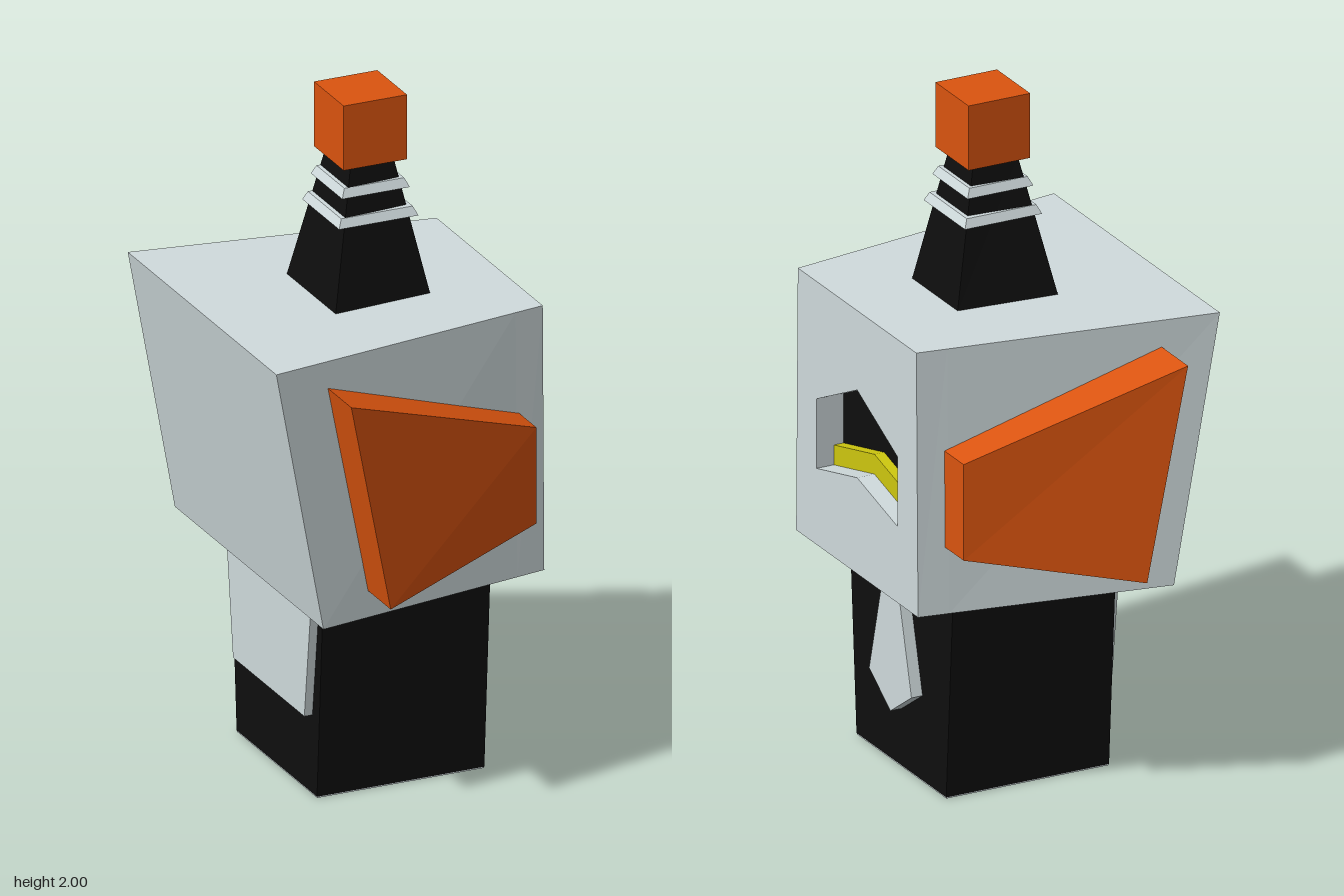
import * as THREE from 'three';

const material = (color) => new THREE.MeshStandardMaterial({ color, flatShading: true });
const pale = material(0xd0dbdd), black = material(0x0e0e0e);
const orange = material(0xdb540f), yellow = material(0xcfc80f);

// Box whose eight corners are placed by a rule of (back/front, low/high, -z/+z)
function block(name, mat, corner) {
  const geo = new THREE.BoxGeometry(1, 1, 1);
  const p = geo.attributes.position;
  for (let i = 0; i < p.count; i++) {
    p.setXYZ(i, ...corner(p.getX(i) > 0, p.getY(i) > 0, Math.sign(p.getZ(i))));
  }
  geo.computeVertexNormals();
  const mesh = new THREE.Mesh(geo, mat);
  mesh.name = name;
  return mesh;
}

// Straight-sided box or tapered block, given x, y ranges and z half widths (low, high)
function slab(name, mat, x0, x1, y0, y1, zLow, zHigh = zLow) {
  return block(name, mat, (f, u, s) => [f ? x1 : x0, u ? y1 : y0, s * (u ? zHigh : zLow)]);
}

const points = (list) => list.map(([z, y]) => new THREE.Vector2(-z, y));

// Outline in the z-y plane extruded along x, from x0 to x1
function plate(name, mat, outline, x0, x1, hole) {
  const shape = new THREE.Shape(points(outline));
  if (hole) shape.holes.push(new THREE.Path(points(hole)));
  const geo = new THREE.ExtrudeGeometry(shape, { depth: x1 - x0, bevelEnabled: false });
  geo.rotateY(Math.PI / 2).translate(x0, 0, 0);
  const mesh = new THREE.Mesh(geo, mat);
  mesh.name = name;
  return mesh;
}

export function createModel() {
  const model = new THREE.Group();
  model.name = 'robotFigure';

  // Body, with a pale sole and back panel
  model.add(slab('body', black, -0.215, 0.3, 0.004, 0.61, 0.265, 0.305));
  model.add(slab('sole', pale, -0.214, 0.299, 0, 0.004, 0.264));
  model.add(slab('backPanel', pale, -0.24, -0.214, 0.24, 0.56, 0.235, 0.275));

  // Tie
  model.add(slab('tieKnot', pale, 0.295, 0.34, 0.545, 0.61, 0.068));
  model.add(plate('tie', pale,
    [[0.05, 0.545], [0.125, 0.26], [0, 0.175], [-0.125, 0.26], [-0.05, 0.545]], 0.295, 0.335));

  // Head: wedge narrowing to the face
  const front = 0.44, recess = 0.35;
  const top = 1.405, bottom = 0.61;
  const headHalf = (x, high) => {
    const back = high ? -0.445 : -0.3;
    return THREE.MathUtils.mapLinear(x, back, front, 0.49, high ? 0.35 : 0.36);
  };
  model.add(block('head', pale, (f, u, s) => {
    const x = f ? recess : u ? -0.445 : -0.3;
    return [x, u ? top : bottom, s * headHalf(x, u)];
  }));

  // Face slab with the visor opening; only its outer rim follows the wedge
  const visor = [[0.24, 1.05], [0.24, 0.84], [0, 0.9], [-0.24, 0.84], [-0.24, 1.05], [0, 1.165]];
  const face = plate('face', pale,
    [[0.36, top], [0.36, bottom], [-0.36, bottom], [-0.36, top]], recess, front, visor);
  const p = face.geometry.attributes.position;
  for (let i = 0; i < p.count; i++) {
    const z = p.getZ(i);
    if (Math.abs(z) > 0.3) p.setZ(i, Math.sign(z) * headHalf(p.getX(i), p.getY(i) > 1));
  }
  face.geometry.computeVertexNormals();
  model.add(face);

  // Dark visor and its glowing chevron
  model.add(plate('visor', black, visor, recess - 0.01, recess + 0.004));
  model.add(plate('eyeBand', yellow,
    [[0.24, 0.9], [0.24, 0.84], [0, 0.9], [-0.24, 0.84], [-0.24, 0.9], [0, 0.96]],
    recess, recess + 0.035));

  // Ear panels, mirrored across z
  for (const side of [1, -1]) {
    model.add(block(side > 0 ? 'earFront' : 'earBack', orange, (f, u, s) => {
      const x = f ? 0.36 : u ? -0.275 : -0.15;
      const y = f ? (u ? 1.1 : 0.81) : u ? 1.325 : 0.69;
      const outer = f ? 0.48 : u ? 0.62 : 0.612;
      const inner = f ? 0.365 : 0.46;
      return [x, y, side * (s === side ? outer : inner)];
    }));
  }

  // Antenna: tapered stem, two flared collars and a cube tip
  model.add(block('antennaStem', black, (f, u, s) => u
    ? [f ? 0.11 : -0.025, 1.81, s * (f ? 0.07 : 0.08)]
    : [f ? 0.195 : -0.11, 1.4, s * (f ? 0.135 : 0.162)]));
  for (const [y, h, half] of [[1.64, 0.026, 0.122], [1.722, 0.026, 0.104]]) {
    model.add(block('antennaCollar', pale, (f, u, s) => {
      const r = half - (u ? 0.012 : 0);
      return [0.042 + (f ? r : -r), y + (u ? h : 0), s * r];
    }));
  }
  model.add(slab('antennaTip', orange, -0.055, 0.14, 1.805, 2, 0.098));

  return model;
}
